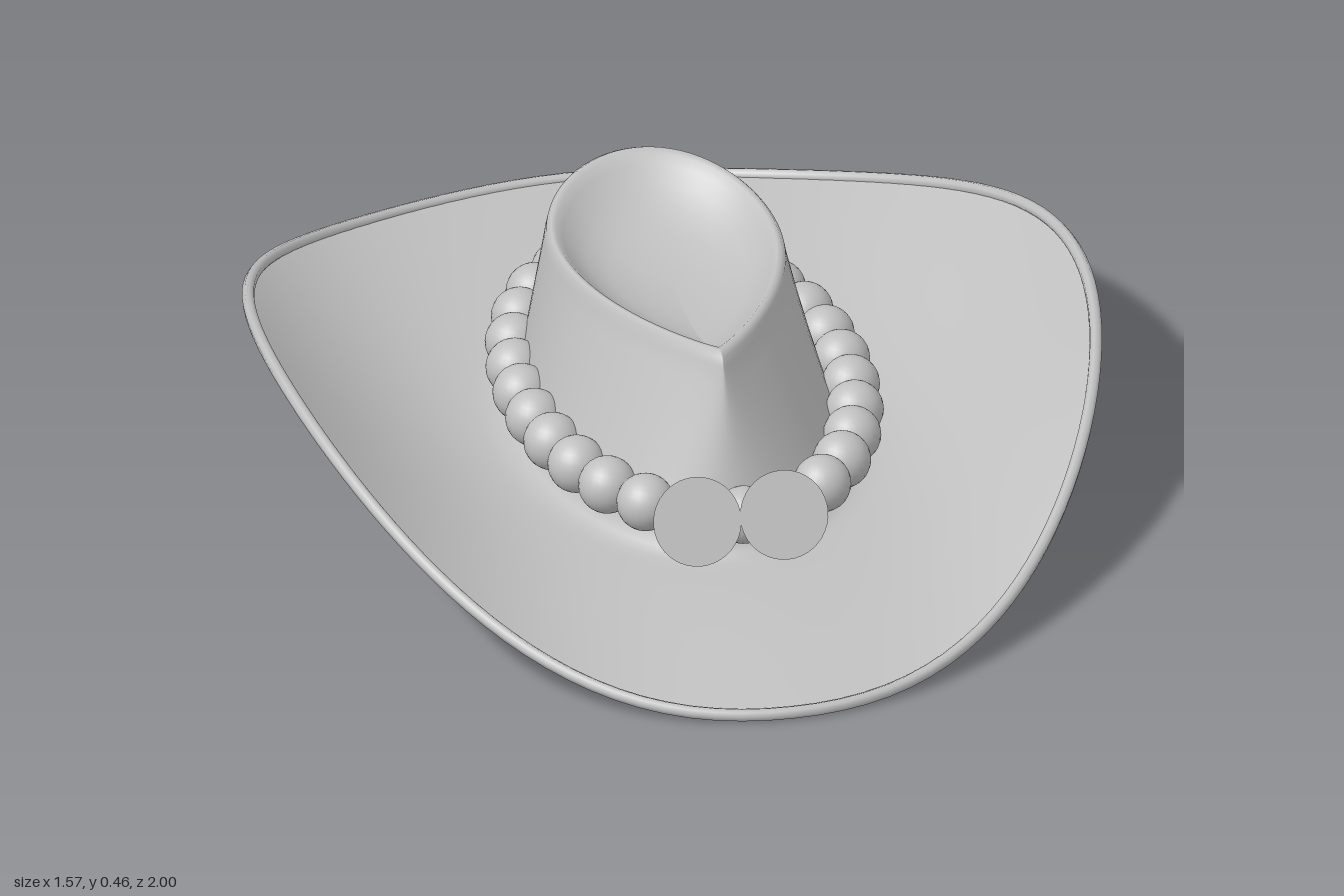
import * as THREE from 'three';

const grey = new THREE.MeshStandardMaterial({ color: 0xc0c0c0, side: THREE.DoubleSide });
grey.name = 'felt grey';

const SEG = 96;
const lerp = THREE.MathUtils.lerp;

// Outer edge of the brim: an egg-shaped plan, curled up at both sides
function brimEdge(a) {
  const s = Math.sin(a), c = Math.cos(a);
  const end = c > 0 ? 0.012 : 0.058;
  return new THREE.Vector3(0.77 * s * (1 - 0.06 * c), lerp(end, 0.31, Math.abs(s) ** 3), 0.988 * c);
}

// Oval footprint of the crown
function oval(a, rx, rz, y) {
  return new THREE.Vector3(rx * Math.sin(a), y, rz * Math.cos(a) - 0.005);
}

// Teardrop outline of the crown top, pinched at the front; drop lowers it below the crest
function teardrop(a, scale, drop) {
  const x = 0.272 * scale * Math.sin(a) * Math.abs(Math.sin(a / 2)) ** 0.8;
  const z = -0.05 + scale * (0.39 * Math.cos(a) + 0.05);
  const d = z + 0.1;
  const crest = 0.422 + (d > 0 ? 0.018 * (d / 0.47) ** 2 : 0.04 * (d / 0.27) ** 2);
  return new THREE.Vector3(x, crest - drop, z);
}

// Smooth closed surface through a list of ring functions
function loft(rings) {
  const pos = [], index = [];
  rings.forEach((ring, i) => {
    for (let j = 0; j < SEG; j++) {
      pos.push(...ring((j / SEG) * Math.PI * 2).toArray());
      if (i === rings.length - 1) continue;
      const a = i * SEG + j, b = i * SEG + ((j + 1) % SEG);
      index.push(a, b, a + SEG, b, b + SEG, a + SEG);
    }
  });
  const g = new THREE.BufferGeometry();
  g.setAttribute('position', new THREE.Float32BufferAttribute(pos, 3));
  g.setIndex(index);
  g.computeVertexNormals();
  return g;
}

function add(parent, geometry, name) {
  const mesh = new THREE.Mesh(geometry, grey);
  mesh.name = name;
  parent.add(mesh);
  return mesh;
}

export function createModel() {
  const hat = new THREE.Group();
  hat.name = 'hat';
  const rings = [];

  // Brim, from the edge inwards
  for (let i = 0; i <= 14; i++) {
    const s = 1 - i / 14;
    rings.push((a) => {
      const p = oval(a, 0.33, 0.535, 0.078), e = brimEdge(a);
      return new THREE.Vector3(lerp(p.x, e.x, s), lerp(p.y, e.y, s ** 1.8), lerp(p.z, e.z, s));
    });
  }

  // Soft bend from brim to crown
  rings.push((a) => oval(a, 0.305, 0.51, 0.086));
  rings.push((a) => oval(a, 0.288, 0.494, 0.105));

  // Crown wall, oval below and teardrop above
  for (let i = 0; i <= 8; i++) {
    rings.push((a) => oval(a, 0.28, 0.485, 0.14).lerp(teardrop(a, 1, 0.028), i / 8));
  }

  // Rounded crest and the hollow in the top
  [[0.985, 0.011], [0.95, 0.001], [0.91, 0.003], [0.86, 0.014], [0.78, 0.032],
    [0.66, 0.052], [0.5, 0.067], [0.3, 0.076], [0.12, 0.079], [0.001, 0.08]]
    .forEach(([scale, drop]) => rings.push((a) => teardrop(a, scale, drop)));
  add(hat, loft(rings), 'brimAndCrown');

  // Rolled binding along the brim edge
  const edge = [];
  for (let j = 0; j < 48; j++) edge.push(brimEdge((j / 48) * Math.PI * 2));
  const edgeCurve = new THREE.CatmullRomCurve3(edge, true);
  add(hat, new THREE.TubeGeometry(edgeCurve, 120, 0.012, 8, true), 'brimBinding');

  // Beaded band around the crown
  const band = new THREE.Group();
  band.name = 'beadBand';
  hat.add(band);
  const bead = new THREE.SphereGeometry(0.054, 24, 16);
  const path = new THREE.EllipseCurve(0.012, -0.005, 0.302, 0.515, Math.PI / 2, Math.PI * 2.5);
  path.getSpacedPoints(27).slice(0, 27).forEach((p) => {
    add(band, bead, 'bead').position.set(p.x, 0.167, p.y);
  });

  // Pair of flat discs at the front, leaning back
  const disc = new THREE.CircleGeometry(0.083, 40);
  [[-0.088, 0.195], [0.076, 0.19]].forEach(([x, y]) => {
    const d = add(hat, disc, 'frontDisc');
    d.position.set(x, y, 0.567);
    d.rotation.x = -0.46;
  });

  return hat;
}
